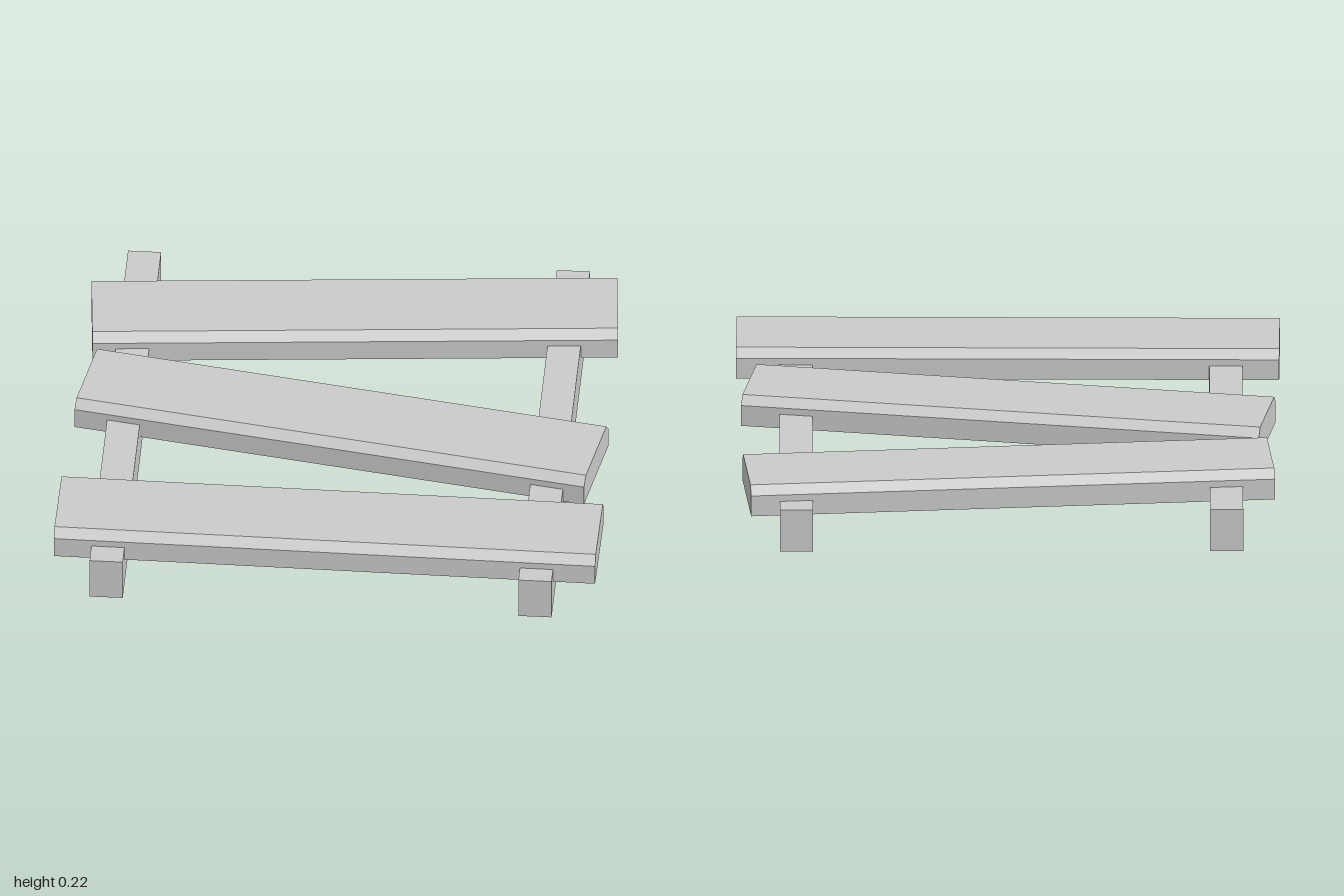
import * as THREE from 'three';

const material = new THREE.MeshStandardMaterial({ color: 0xcccccc, flatShading: true });

// Board running along x, with both long upper edges bevelled
function plankGeometry(length, width) {
  const w = width / 2, bottom = 0.11, shoulder = 0.19, top = 0.222, bevel = 0.031;
  const profile = new THREE.Shape([
    [-w, bottom], [w, bottom], [w, shoulder], [w - bevel, top], [-w + bevel, top], [-w, shoulder],
  ].map(([x, y]) => new THREE.Vector2(x, y)));
  return new THREE.ExtrudeGeometry(profile, { depth: length, bevelEnabled: false })
    .translate(0, 0, -length / 2)
    .rotateY(Math.PI / 2);
}

export function createModel() {
  const group = new THREE.Group();
  group.name = 'plankWalkway';

  // Two square rails resting on the ground
  for (const [name, x] of [['rightRail', -0.8], ['leftRail', 0.78]]) {
    const rail = new THREE.Mesh(new THREE.BoxGeometry(0.122, 0.165, 1.89), material);
    rail.name = name;
    rail.position.set(x, 0.0825, 0);
    group.add(rail);
  }

  // Three crooked planks let into the rails: name, length, z, turn
  const planks = [
    ['frontPlank', 1.996, 0.68, -0.01],
    ['middlePlank', 1.93, 0.05, -0.172],
    ['backPlank', 1.932, -0.605, 0.0855],
  ];
  for (const [name, length, z, turn] of planks) {
    const plank = new THREE.Mesh(plankGeometry(length, 0.368), material);
    plank.name = name;
    plank.position.z = z;
    plank.rotation.y = turn;
    group.add(plank);
  }
  return group;
}
